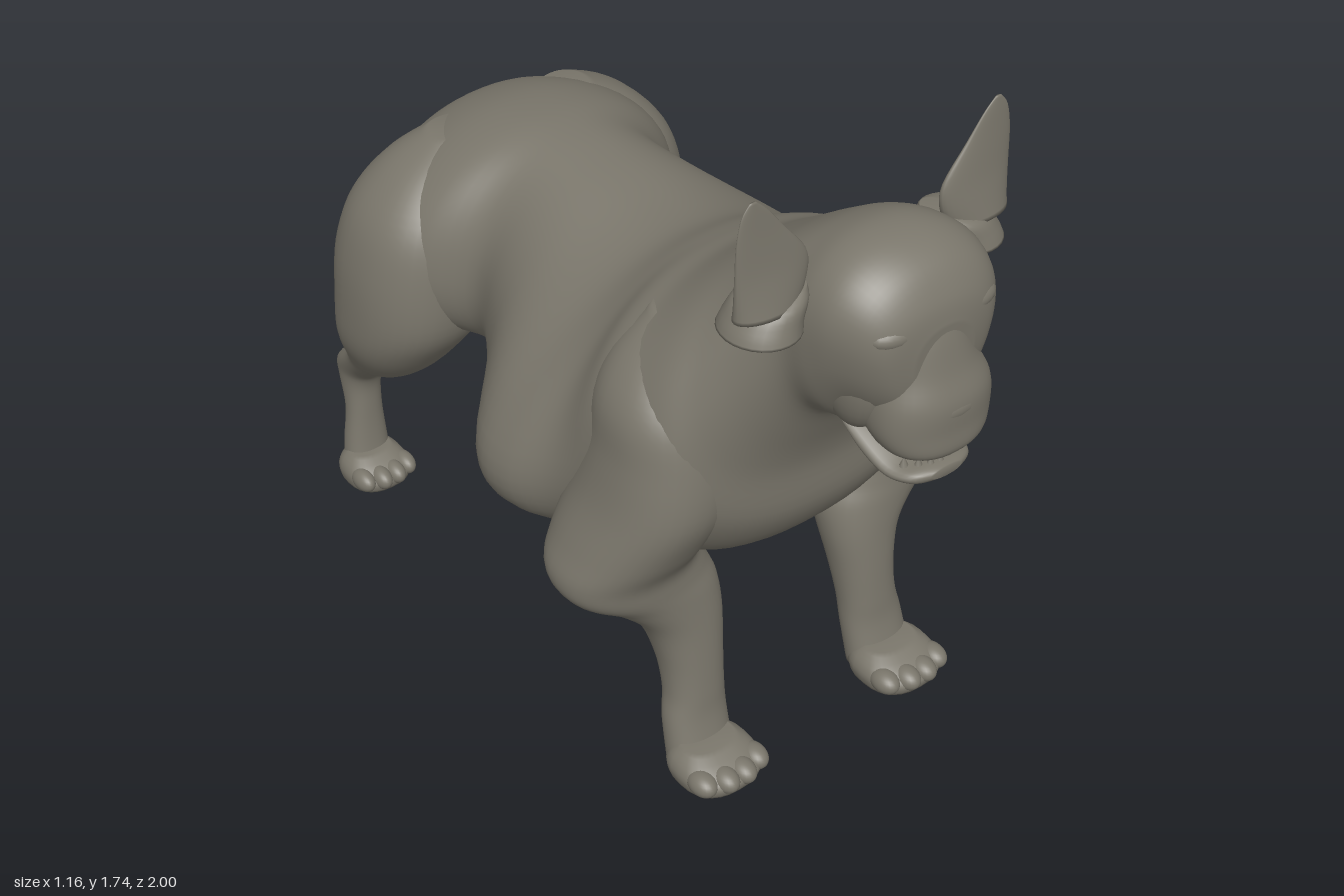
import * as THREE from 'three';

const coat = new THREE.MeshStandardMaterial({ color: 0x7a766b });
coat.name = 'coat grey';

// Smooth value between rings, column by column
function blend(rings, t) {
  const last = rings.length - 1;
  const i = Math.min(Math.floor(t), last - 1), f = t - i;
  const a = rings[Math.max(i - 1, 0)], b = rings[i], c = rings[i + 1], d = rings[Math.min(i + 2, last)];
  return b.map((_, k) => {
    const m0 = (c[k] - a[k]) / 2, m1 = (d[k] - b[k]) / 2, f2 = f * f, f3 = f2 * f;
    return (2 * f3 - 3 * f2 + 1) * b[k] + (f3 - 2 * f2 + f) * m0 + (3 * f2 - 2 * f3) * c[k] + (f3 - f2) * m1;
  });
}

// Closed skin over rings [cx, cy, cz, halfX, vy, vz, taper]; v is the ring's second half axis
function loft(name, rings, sides = 40, steps = 5, power = 0.9) {
  const pos = [], idx = [], n = (rings.length - 1) * steps;
  const bend = (v) => Math.sign(v) * Math.abs(v) ** power;
  for (let i = 0; i <= n; i++) {
    const [cx, cy, cz, hx, vy, vz, taper] = blend(rings, i / steps);
    for (let j = 0; j < sides; j++) {
      const a = (j / sides) * Math.PI * 2, s = bend(Math.sin(a));
      pos.push(cx + hx * bend(Math.cos(a)) * (1 - taper * s), cy + vy * s, cz + vz * s);
    }
  }
  for (let i = 0; i < n; i++) for (let j = 0; j < sides; j++) {
    const a = i * sides + j, b = i * sides + ((j + 1) % sides);
    idx.push(a, b, a + sides, b, b + sides, a + sides);
  }
  for (const [ring, start] of [[rings[0], 0], [rings[rings.length - 1], n * sides]]) {
    const c = pos.length / 3;
    pos.push(ring[0], ring[1], ring[2]);
    for (let j = 0; j < sides; j++) {
      const p = start + j, q = start + ((j + 1) % sides);
      start ? idx.push(p, q, c) : idx.push(q, p, c);
    }
  }
  // Turn the skin outward when its volume comes out negative
  let volume = 0;
  const P = (i) => new THREE.Vector3().fromArray(pos, i * 3);
  for (let i = 0; i < idx.length; i += 3) volume += P(idx[i]).dot(P(idx[i + 1]).cross(P(idx[i + 2])));
  if (volume < 0) idx.reverse();
  const g = new THREE.BufferGeometry();
  g.setAttribute('position', new THREE.Float32BufferAttribute(pos, 3));
  g.setIndex(idx);
  g.computeVertexNormals();
  const mesh = new THREE.Mesh(g, coat);
  mesh.name = name;
  return mesh;
}

// Ring given by its top and bottom points in the side plane
const span = (zt, yt, zb, yb, w, taper = 0.15, x = 0) =>
  [x, (yt + yb) / 2, (zt + zb) / 2, w, (yt - yb) / 2, (zt - zb) / 2, taper];
// Level ring
const level = (y, x, hx, z, hz) => [x, y, z, hx, 0, hz, 0];

function blob(name, x, y, z, rx, ry, rz, tilt = 0) {
  const mesh = new THREE.Mesh(new THREE.SphereGeometry(1, 24, 16), coat);
  mesh.name = name;
  mesh.position.set(x, y, z);
  mesh.scale.set(rx, ry, rz);
  mesh.rotation.x = tilt;
  return mesh;
}

// Flat-soled paw: domed foot with four toes
function paw(name, x, z, w, len) {
  const g = new THREE.Group();
  g.name = name;
  g.add(loft('foot', [
    level(0, x, w * 0.9, z, len * 0.9), level(0.028, x, w * 0.95, z, len * 0.95),
    level(0.055, x, w * 0.85, z - len * 0.1, len * 0.75), level(0.078, x, w * 0.6, z - len * 0.25, len * 0.45),
  ], 28, 3, 0.8));
  for (let i = 0; i < 4; i++) {
    const k = (i - 1.5) / 1.5;
    g.add(blob('toe', x + k * w * 0.68, 0.032, z + len * (0.68 - 0.2 * k * k), w * 0.28, 0.03, 0.045));
  }
  return g;
}

export function createModel() {
  const dog = new THREE.Group();
  dog.name = 'dog';

  // Trunk, neck and skull in one skin from rump to face
  dog.add(loft('body', [
    span(-0.845, 1.0, -0.85, 0.75, 0.15), span(-0.815, 1.08, -0.835, 0.66, 0.28),
    span(-0.75, 1.16, -0.77, 0.61, 0.38, 0.22), span(-0.62, 1.215, -0.62, 0.61, 0.43, 0.22),
    span(-0.48, 1.235, -0.47, 0.64, 0.39), span(-0.35, 1.232, -0.35, 0.62, 0.31),
    span(-0.2, 1.215, -0.2, 0.56, 0.37, 0.2), span(-0.03, 1.195, -0.03, 0.495, 0.5, 0.34),
    span(0.1, 1.205, 0.1, 0.48, 0.515, 0.34), span(0.2, 1.25, 0.22, 0.48, 0.475, 0.22),
    span(0.26, 1.275, 0.38, 0.53, 0.465, 0.06), span(0.33, 1.305, 0.52, 0.58, 0.45, 0.05),
    span(0.42, 1.37, 0.61, 0.71, 0.41, 0.1), span(0.5, 1.43, 0.625, 0.86, 0.34, 0.12),
    span(0.58, 1.49, 0.66, 0.97, 0.275, 0.06), span(0.66, 1.54, 0.71, 1.06, 0.235, 0, 0.01),
    span(0.74, 1.568, 0.78, 1.08, 0.225, -0.1, 0.01), span(0.82, 1.562, 0.83, 1.12, 0.215, -0.16, 0.015),
    span(0.89, 1.525, 0.89, 1.14, 0.185, -0.2, 0.02), span(0.935, 1.46, 0.925, 1.17, 0.14, -0.2, 0.02),
    span(0.95, 1.4, 0.945, 1.23, 0.08, 0, 0.02),
  ], 64));

  // Face: muzzle hanging forward, open mouth below
  dog.add(loft('muzzle', [
    level(1.44, 0.02, 0.06, 0.87, 0.06), level(1.37, 0.02, 0.095, 0.865, 0.09),
    level(1.29, 0.025, 0.12, 0.87, 0.105), level(1.22, 0.03, 0.148, 0.88, 0.117),
    level(1.15, 0.03, 0.15, 0.89, 0.108), level(1.1, 0.03, 0.125, 0.91, 0.088),
    level(1.075, 0.03, 0.075, 0.92, 0.06),
  ], 40, 5, 0.88));
  dog.add(loft('lowerJaw', [
    span(0.74, 1.13, 0.76, 1.08, 0.12, 0, 0.02), span(0.82, 1.095, 0.83, 1.025, 0.12, 0, 0.02),
    span(0.9, 1.055, 0.9, 1.0, 0.11, 0, 0.02), span(0.955, 1.05, 0.955, 1.005, 0.085, 0, 0.02),
    span(0.98, 1.045, 0.98, 1.02, 0.04, 0, 0.02),
  ], 28));
  dog.add(blob('nose', 0.03, 1.2, 0.95, 0.1, 0.045, 0.05));
  for (let i = -3; i <= 3; i++) {
    const tooth = new THREE.Mesh(new THREE.ConeGeometry(0.012, 0.03, 8), coat);
    tooth.name = 'tooth';
    tooth.position.set(0.02 + i * 0.024, 1.055, 0.955 - i * i * 0.004);
    dog.add(tooth);
  }

  for (const s of [1, -1]) {
    const side = s > 0 ? 'left' : 'right';
    dog.add(blob(side + 'Brow', 0.02 + s * 0.1, 1.405, 0.895, 0.075, 0.035, 0.045));
    dog.add(blob(side + 'Eye', 0.02 + s * 0.1, 1.35, 0.908, 0.038, 0.016, 0.03));
    dog.add(blob(side + 'Cheek', 0.02 + s * 0.115, 1.26, 0.8, 0.07, 0.15, 0.1));

    // Upright ear with a lobe of fur under it
    dog.add(loft(side + 'Ear', [
      level(1.457, s * 0.295, 0.083, 0.73, 0.042), level(1.51, s * 0.283, 0.095, 0.73, 0.031),
      level(1.57, s * 0.284, 0.094, 0.73, 0.02), level(1.65, s * 0.313, 0.063, 0.73, 0.011),
      level(1.71, s * 0.33, 0.034, 0.73, 0.006), level(1.74, s * 0.335, 0.008, 0.73, 0.003),
    ], 28, 4, 1));
    dog.add(loft(side + 'EarRuff', [
      level(1.485, s * 0.21, 0.03, 0.7, 0.05), level(1.462, s * 0.25, 0.075, 0.7, 0.078),
      level(1.425, s * 0.275, 0.085, 0.7, 0.09), level(1.395, s * 0.285, 0.09, 0.7, 0.098),
    ], 28, 4, 1));

    // Foreleg with heavy shoulder and out-turned elbow
    dog.add(loft(side + 'Foreleg', [
      level(1.23, s * 0.23, 0.06, 0.36, 0.06), level(1.14, s * 0.28, 0.115, 0.38, 0.12),
      level(1.05, s * 0.305, 0.148, 0.4, 0.16), level(0.93, s * 0.32, 0.153, 0.41, 0.18),
      level(0.8, s * 0.34, 0.163, 0.4, 0.195),
      level(0.68, s * 0.375, 0.175, 0.37, 0.18), level(0.6, s * 0.395, 0.185, 0.355, 0.155),
      level(0.54, s * 0.375, 0.185, 0.368, 0.135), level(0.48, s * 0.32, 0.15, 0.39, 0.115),
      level(0.4, s * 0.28, 0.108, 0.42, 0.092), level(0.3, s * 0.27, 0.085, 0.447, 0.076),
      level(0.2, s * 0.272, 0.078, 0.47, 0.063), level(0.12, s * 0.28, 0.085, 0.485, 0.058),
      level(0.01, s * 0.285, 0.088, 0.515, 0.06),
    ], 36));
    dog.add(paw(side + 'ForePaw', s * 0.288, 0.575, 0.115, 0.112));

    // Hind leg, broadest low on the thigh, with a sharp hock
    dog.add(loft(side + 'HindLeg', [
      level(1.17, s * 0.17, 0.06, -0.63, 0.06), level(1.1, s * 0.22, 0.13, -0.63, 0.13),
      level(1.0, s * 0.265, 0.175, -0.63, 0.185),
      level(0.87, s * 0.292, 0.19, -0.635, 0.21), level(0.72, s * 0.315, 0.18, -0.64, 0.205),
      level(0.61, s * 0.335, 0.153, -0.67, 0.168), level(0.51, s * 0.335, 0.112, -0.72, 0.125),
      level(0.43, s * 0.32, 0.082, -0.805, 0.092), level(0.345, s * 0.315, 0.06, -0.91, 0.078),
      level(0.29, s * 0.315, 0.052, -0.93, 0.06), level(0.2, s * 0.32, 0.05, -0.915, 0.042),
      level(0.1, s * 0.325, 0.06, -0.91, 0.045), level(0.01, s * 0.33, 0.068, -0.9, 0.05),
    ], 36));
    dog.add(paw(side + 'HindPaw', s * 0.33, -0.865, 0.095, 0.097));
  }

  // Belly sheath and docked tail
  dog.add(blob('sheath', 0, 0.6, -0.32, 0.05, 0.045, 0.09, 0.35));
  dog.add(loft('tailStub', [
    level(1.045, 0, 0.045, -0.825, 0.02), level(1.0, 0, 0.052, -0.835, 0.02),
    level(0.92, 0, 0.055, -0.845, 0.015), level(0.86, 0, 0.03, -0.85, 0.01),
  ], 20));
  return dog;
}
